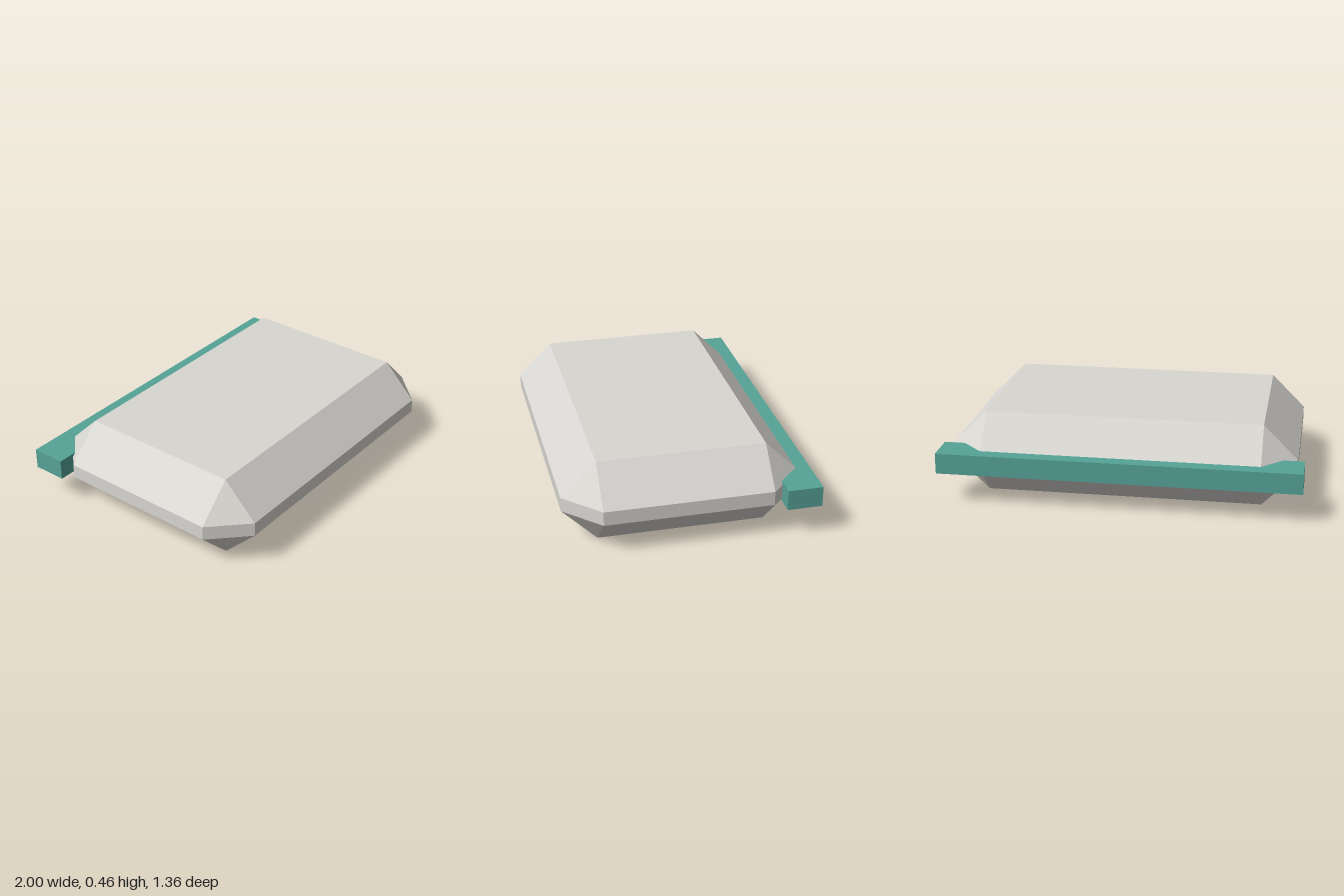
import * as THREE from 'three';
import { ConvexGeometry } from 'three/addons/geometries/ConvexGeometry.js';

// Hull of a box whose edges and corners are all chamfered by the same amount
function chamferedBox(w, h, d, c) {
  const points = [];
  const x = w / 2, y = h / 2, z = d / 2;
  for (const sx of [-1, 1]) for (const sy of [-1, 1]) for (const sz of [-1, 1]) {
    points.push(
      new THREE.Vector3(sx * x, sy * (y - c), sz * (z - c)),
      new THREE.Vector3(sx * (x - c), sy * y, sz * (z - c)),
      new THREE.Vector3(sx * (x - c), sy * (y - c), sz * z)
    );
  }
  return new ConvexGeometry(points);
}

export function createModel() {
  const group = new THREE.Group();
  const paleGrey = new THREE.MeshStandardMaterial({ color: 0xd8d6d1, flatShading: true });
  paleGrey.name = 'pale grey';
  const teal = new THREE.MeshStandardMaterial({ color: 0x56a397, flatShading: true });
  teal.name = 'teal';

  // Chamfered slab
  const body = new THREE.Mesh(chamferedBox(1.924, 0.464, 1.304, 0.192), paleGrey);
  body.name = 'body';
  body.position.set(0, 0.232, 0.03);
  group.add(body);

  // Bar across the back edge
  const bar = new THREE.Mesh(new THREE.BoxGeometry(2, 0.115, 0.192), teal);
  bar.name = 'backBar';
  bar.position.set(0, 0.232, -0.586);
  group.add(bar);

  return group;
}
